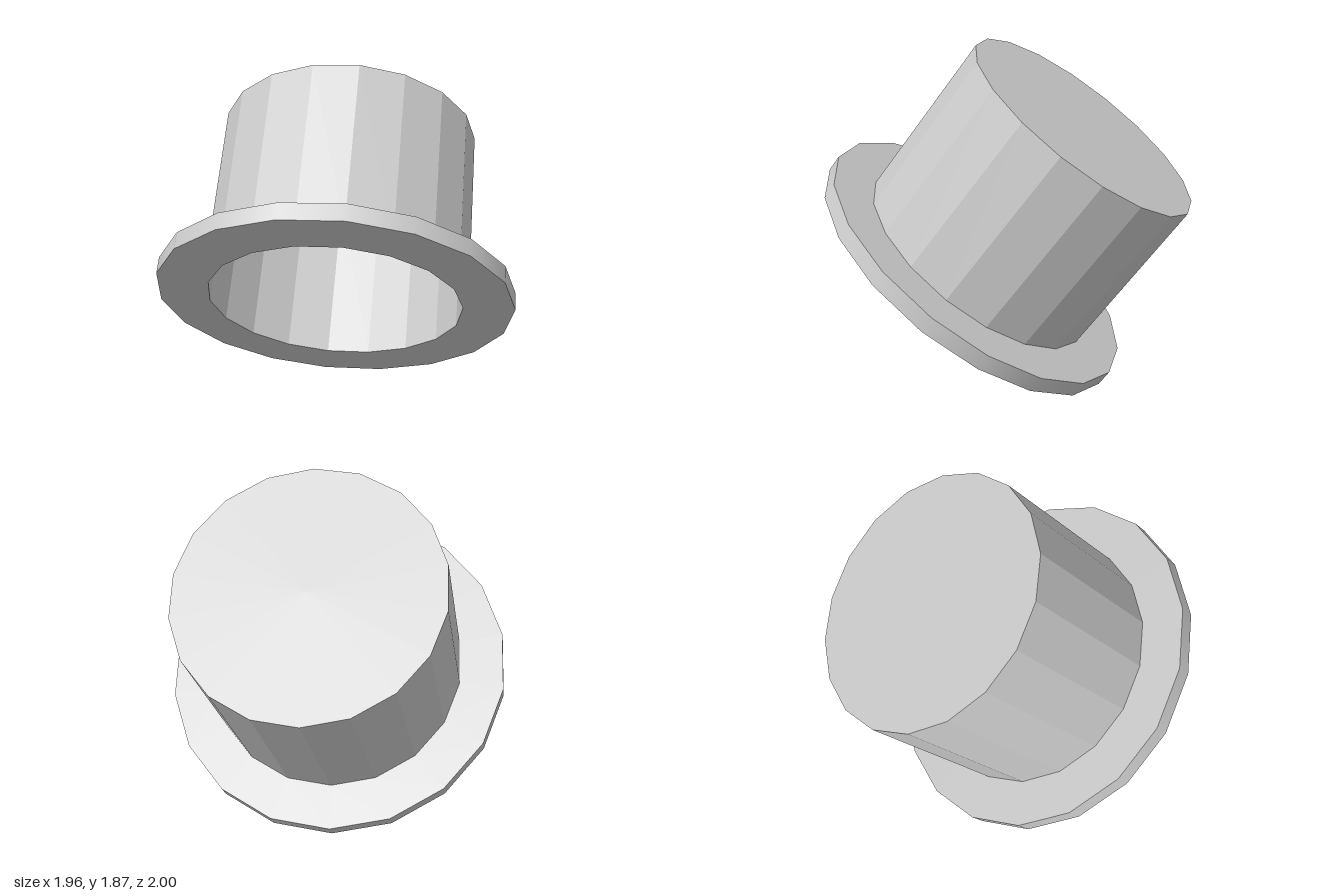
import * as THREE from 'three';

const SIDES = 18;
const TILT = THREE.MathUtils.degToRad(36.6);

// Sizes measured along the hat's own axis, from the underside of the brim
const BRIM_R = 0.98, BRIM_H = 0.095;
const CROWN_R = 0.73, CROWN_TOP = 1.08;
const INNER_R = 0.70, INNER_TOP = 0.98;

export function createModel() {
  const flat = new THREE.MeshStandardMaterial({ color: 0xcccccc, flatShading: true });
  const smooth = new THREE.MeshStandardMaterial({ color: 0xcccccc });

  const hat = new THREE.Group();
  hat.name = 'topHat';

  const add = (name, geometry, material) => {
    const mesh = new THREE.Mesh(geometry, material);
    mesh.name = name;
    hat.add(mesh);
    return mesh;
  };
  // Faceted surface of revolution, with a corner on the x axis
  const turned = (name, profile) => add(name, new THREE.LatheGeometry(
    profile.map(([r, y]) => new THREE.Vector2(r, y)), SIDES, Math.PI / 2), flat);

  // Crown: outer wall and closed flat top
  turned('crown', [[CROWN_R, BRIM_H], [CROWN_R, CROWN_TOP], [0, CROWN_TOP]]);
  // Hollow inside: ceiling and inner wall
  turned('lining', [[0, INNER_TOP], [INNER_R, INNER_TOP], [INNER_R, 0]]);
  // Brim: flat faces, and a smooth edge
  turned('brimUnderside', [[INNER_R, 0], [BRIM_R, 0]]);
  turned('brimTop', [[BRIM_R, BRIM_H], [CROWN_R, BRIM_H]]);
  add('brimEdge', new THREE.CylinderGeometry(
    BRIM_R, BRIM_R, BRIM_H, SIDES, 1, true, Math.PI / 2), smooth).position.y = BRIM_H / 2;

  // Tip the hat back so it rests on the rear of its brim
  hat.rotation.x = -TILT;
  hat.position.set(0, BRIM_R * Math.cos(Math.PI / SIDES) * Math.sin(TILT), 0.225);

  const model = new THREE.Group();
  model.name = 'model';
  model.add(hat);
  return model;
}
